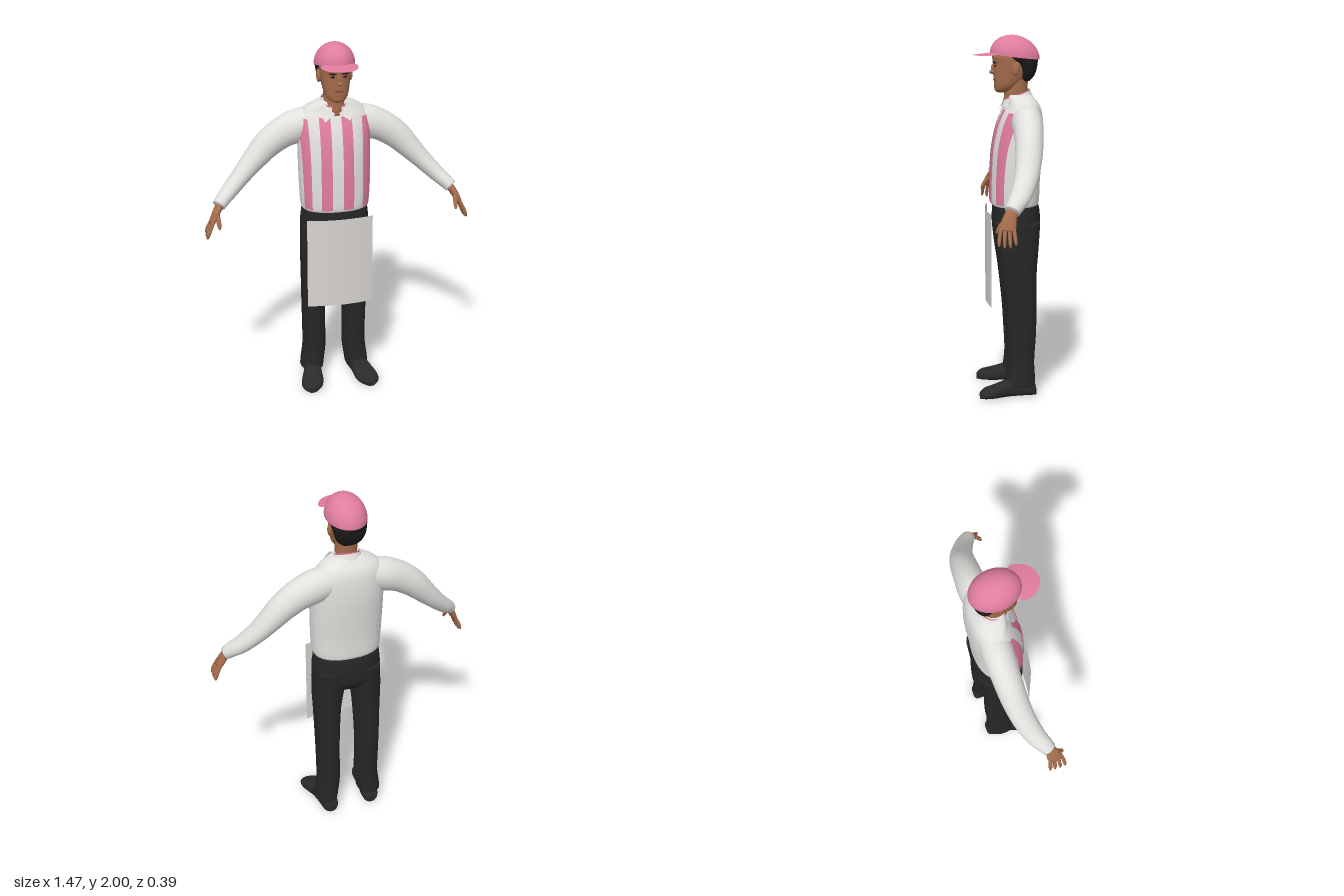
import * as THREE from 'three';

const mat = (name, color, side = THREE.FrontSide) => {
  const m = new THREE.MeshStandardMaterial({ color, side });
  m.name = name;
  return m;
};
const V = (x, y, z) => new THREE.Vector3(x, y, z);

// Smoothly resample a table of numbers, k steps per interval
function smooth(rows, k = 4) {
  const out = [], at = i => rows[Math.min(Math.max(i, 0), rows.length - 1)];
  for (let i = 0; i < rows.length - 1; i++)
    for (let j = 0; j < k; j++) {
      const t = j / k;
      out.push(rows[i].map((p1, c) => {
        const p0 = at(i - 1)[c], p2 = at(i + 1)[c], p3 = at(i + 2)[c];
        return p1 + 0.5 * t * (p2 - p0 + t * (2 * p0 - 5 * p1 + 4 * p2 - p3 + t * (3 * (p1 - p2) + p3 - p0)));
      }));
    }
  out.push(rows[rows.length - 1]);
  return out;
}

// Closed skin over superellipse rings {c, u, v, ru, rv}
function loft(rings, e = 2, seg = 32) {
  const pos = [], idx = [], n = rings.length;
  const pw = x => Math.sign(x) * Math.pow(Math.abs(x), 2 / e);
  for (const r of rings)
    for (let i = 0; i < seg; i++) {
      const a = i / seg * Math.PI * 2;
      const p = r.c.clone().addScaledVector(r.u, r.ru * pw(Math.cos(a))).addScaledVector(r.v, r.rv * pw(Math.sin(a)));
      pos.push(p.x, p.y, p.z);
    }
  pos.push(...rings[0].c.toArray(), ...rings[n - 1].c.toArray());
  for (let i = 0; i < seg; i++) {
    const j = (i + 1) % seg, top = (n - 1) * seg;
    for (let k = 0; k < top; k += seg)
      idx.push(k + i, k + j, k + seg + i, k + j, k + seg + j, k + seg + i);
    idx.push(n * seg, j, i, n * seg + 1, top + i, top + j);
  }
  // Turn the faces outward whichever way the rings run
  const p = k => V(pos[3 * k], pos[3 * k + 1], pos[3 * k + 2]);
  let vol = 0;
  for (let k = 0; k < idx.length; k += 3) vol += p(idx[k]).dot(p(idx[k + 1]).cross(p(idx[k + 2])));
  if (vol < 0) idx.reverse();
  const g = new THREE.BufferGeometry();
  g.setAttribute('position', new THREE.Float32BufferAttribute(pos, 3));
  g.setIndex(idx);
  g.computeVertexNormals();
  return g;
}

// Upright body: rows of [y, centre x, half width, front z, back z]
const column = (rows, e) => loft(smooth(rows).map(([y, cx, rx, f, b]) =>
  ({ c: V(cx, y, (f + b) / 2), u: V(1, 0, 0), v: V(0, 0, 1), ru: rx, rv: (f - b) / 2 })), e);

// Limb along a path: rows of [x, y, z, thickness, depth]
function limb(rows, seg = 24) {
  const s = smooth(rows), c = s.map(r => V(r[0], r[1], r[2]));
  return loft(s.map((r, i) => {
    const t = c[Math.min(i + 1, c.length - 1)].clone().sub(c[Math.max(i - 1, 0)]).normalize();
    const u = t.clone().cross(V(0, 0, 1)).normalize();
    return { c: c[i], u, v: u.clone().cross(t), ru: r[3], rv: r[4] };
  }), 2, seg);
}

// Open sheet from a rule (u, v) -> [x, y, z]
function sheet(nu, nv, fn) {
  const g = new THREE.PlaneGeometry(1, 1, nu, nv), p = g.attributes.position;
  for (let i = 0; i < p.count; i++) p.setXYZ(i, ...fn(p.getX(i) + 0.5, p.getY(i) + 0.5));
  g.computeVertexNormals();
  return g;
}

export function createModel() {
  const model = new THREE.Group();
  model.name = 'capAndApronWorker';
  const white = mat('shirt white', 0xe2e1de, THREE.DoubleSide);
  const apronGrey = mat('apron off-white', 0xd8d5d1, THREE.DoubleSide);
  const pink = mat('pink', 0xe07c9f, THREE.DoubleSide);
  const skin = mat('skin', 0xa56c4c), lip = mat('lips', 0x804c38);
  const black = mat('trouser black', 0x262626), shoeBlack = mat('shoe black', 0x2a2a2a);
  const hairBlack = mat('hair black', 0x1d1a19);
  const add = (name, geo, m, parent = model) => {
    const mesh = new THREE.Mesh(geo, m);
    mesh.name = name;
    parent.add(mesh);
    return mesh;
  };
  const ball = (name, m, [x, y, z], [sx, sy, sz]) => {
    const b = add(name, new THREE.SphereGeometry(1, 20, 14), m);
    b.position.set(x, y, z);
    b.scale.set(sx, sy, sz);
    return b;
  };

  // Shirt body
  const torso = [
    [1.075, 0, .178, .09, -.155], [1.09, 0, .19, .102, -.168], [1.2, 0, .197, .102, -.172],
    [1.35, 0, .2, .095, -.184], [1.45, 0, .2, .08, -.19], [1.53, 0, .198, .058, -.188],
    [1.59, 0, .19, .032, -.18], [1.63, 0, .165, .012, -.165], [1.655, 0, .13, .008, -.145], [1.68, 0, .075, .005, -.125]];
  add('shirtBody', column(torso, 2.3), white);

  // Painted stripes that hug the chest: [bottom x range, top x range, top y]
  const rows = smooth(torso);
  [[-.178, -.143, -.2, -.155, 1.59], [-.098, -.04, -.097, -.037, 1.612],
    [.022, .08, .022, .08, 1.612], [.132, .173, .14, .2, 1.59]].forEach(([a0, a1, b0, b1, top]) => {
    const r = rows.filter(q => q[0] > 1.08 && q[0] <= top);
    add('shirtStripe', sheet(10, r.length - 1, (u, v) => {
      const [y, , rx, f, b] = r[Math.round(v * (r.length - 1))];
      const x = THREE.MathUtils.clamp((a0 + (a1 - a0) * u) * (1 - v) + (b0 + (b1 - b0) * u) * v, -.99 * rx, .99 * rx);
      const k = Math.pow(1 - Math.pow(Math.abs(x) / rx, 2.3), 1 / 2.3);
      return [x * 1.012, y, (f + b) / 2 + (f - b) / 2 * k + .004];
    }), pink);
  });

  // Collar band with pink lining
  const around = (rx, rz, drop, flare) => (u, v) => {
    const a = .35 + u * (Math.PI * 2 - .7), w = 1 - v;
    const z = -.045 + (rz + flare * w) * Math.cos(a);
    return [(rx + flare * w) * Math.sin(a), 1.677 - .36 * (-0.045 + rz * Math.cos(a) + .045) - drop * w, z];
  };
  add('collar', sheet(40, 3, around(.074, .074, .042, .018)), white);
  const lining = add('collarLining', sheet(40, 1, around(.07, .07, .03, 0)), pink);
  lining.position.y = .007;

  // Trouser seat
  add('trouserSeat', column([[1.11, 0, .178, .08, -.155], [1.05, 0, .186, .09, -.17], [.97, 0, .193, .092, -.175],
    [.9, 0, .186, .082, -.165], [.85, 0, .14, .045, -.125]], 2.3), black);

  // Parts made once for each side
  for (const s of [1, -1]) {
    const side = new THREE.Group();
    side.name = s > 0 ? 'leftSide' : 'rightSide';
    model.add(side);
    const m = rs => rs.map(r => [r[0] * s, ...r.slice(1)]);
    const mc = rs => rs.map(r => [r[0], r[1] * s, ...r.slice(2)]);

    add('trouserLeg', column(mc([[.99, .1, .09, .085, -.168], [.9, .103, .09, .081, -.163], [.8, .112, .083, .068, -.155],
      [.7, .117, .075, .053, -.148], [.5, .12, .068, .031, -.148], [.35, .119, .066, .021, -.145], [.2, .118, .067, .014, -.136],
      [.1, .13, .067, .022, -.14], [.065, .134, .066, .03, -.14]]), 2.2), black, side);

    // Shoe: stations of [z, centre x, half width, height]
    add('shoe', loft(smooth([[-.146, .125, .025, .045], [-.13, .126, .044, .075], [-.07, .13, .05, .1], [0, .14, .05, .1],
      [.05, .15, .058, .08], [.1, .16, .064, .062], [.145, .168, .054, .05], [.173, .172, .025, .03]]).map(([z, x, w, h]) =>
      ({ c: V(x * s, h / 2, z), u: V(1, 0, 0), v: V(0, 1, 0), ru: w, rv: h / 2 })), 2.7), shoeBlack, side);

    add('sleeve', limb(m([[.09, 1.56, -.085, .08, .08], [.19, 1.533, -.087, .093, .084], [.28, 1.498, -.085, .086, .078],
      [.36, 1.443, -.08, .078, .074], [.42, 1.384, -.072, .068, .07], [.5, 1.3, -.053, .054, .063],
      [.58, 1.22, -.018, .045, .055], [.625, 1.18, .012, .04, .047], [.655, 1.15, .034, .036, .04]])), white, side);

    // Hand, fingers and thumb
    add('palm', limb(m([[.635, 1.168, .022, .022, .028], [.663, 1.13, .042, .021, .033], [.685, 1.09, .054, .018, .041],
      [.702, 1.06, .06, .012, .039]])), skin, side);
    [-.032, -.011, .011, .032].forEach((o, i) => {
      const l = [.85, 1, 1, .9][i];
      add('finger', limb(m([[.694, 1.075, .06 + o, .009, .01], [.714, 1.065 - .035 * l, .062 + o * 1.2, .01, .01],
        [.724, 1.065 - .065 * l, .062 + o * 1.3, .009, .009], [.729, 1.065 - .084 * l, .061 + o * 1.35, .004, .004]]), 10), skin, side);
    });
    add('thumb', limb(m([[.668, 1.115, .065, .013, .014], [.666, 1.085, .09, .013, .012], [.664, 1.06, .105, .011, .01],
      [.662, 1.042, .113, .005, .005]]), 10), skin, side);

    // Pointed collar flap, blended between four corners
    const q = [[.07, 1.583, .053], [.095, 1.632, .024], [.01, 1.622, .036], [.07, 1.664, .012]];
    add('collarFlap', sheet(4, 4, (u, v) => [0, 1, 2].map(c => (c ? 1 : s) *
      ((q[0][c] * (1 - u) + q[1][c] * u) * (1 - v) + (q[2][c] * (1 - u) + q[3][c] * u) * v))), white, side);

    // Ear, brow and eye
    ball('ear', skin, [s * .087, 1.82, -.035], [.012, .036, .02]).rotation.x = -.15;
    ball('brow', hairBlack, [s * .034, 1.853, .077], [.021, .005, .006]).rotation.y = s * .35;
    ball('eye', hairBlack, [s * .033, 1.836, .075], [.013, .005, .005]).rotation.y = s * .35;
  }

  // Neck and head
  add('neck', column([[1.58, 0, .065, .02, -.11], [1.63, 0, .06, .027, -.108], [1.7, 0, .058, .022, -.104], [1.78, 0, .06, .02, -.11]], 2), skin);
  add('head', column([[1.69, 0, .022, .06, .01], [1.703, 0, .046, .075, -.03], [1.73, 0, .063, .078, -.06], [1.77, 0, .073, .08, -.1],
    [1.81, 0, .08, .081, -.125], [1.85, 0, .084, .083, -.14], [1.89, 0, .085, .088, -.14], [1.93, 0, .07, .06, -.12]], 2.2), skin);
  ball('nose', skin, [0, 1.817, .082], [.01, .03, .014]);
  ball('noseTip', skin, [0, 1.801, .088], [.016, .011, .017]);
  ball('mouth', lip, [0, 1.759, .077], [.026, .006, .006]);

  // Hair at the back and temples
  add('hair', column([[1.752, 0, .045, -.07, -.115], [1.775, 0, .068, -.05, -.137], [1.81, 0, .083, -.045, -.152],
    [1.85, 0, .092, -.02, -.159], [1.88, 0, .097, .03, -.16], [1.92, 0, .085, .03, -.14]], 2.2), hairBlack);

  // Cap crown, sheared so it sits lower at the back
  const crown = new THREE.SphereGeometry(1, 40, 16, 0, Math.PI * 2, 0, Math.PI / 2);
  crown.scale(.109, .115, .136);
  const cp = crown.attributes.position;
  for (let i = 0; i < cp.count; i++) cp.setY(i, cp.getY(i) + cp.getZ(i) * .12);
  crown.computeVertexNormals();
  crown.translate(0, 1.884, -.035);
  add('capCrown', crown, pink);

  // Cap brim, drooping to the sides and front
  add('capBrim', sheet(24, 6, (u, v) => {
    const a = (u - .5) * Math.PI, x = .101 * Math.sin(a) * (.85 + .15 * (1 - v));
    const z = .06 + (1 - v) * (.02 + .115 * Math.cos(a)) + v * .02 * Math.cos(a);
    return [x, 1.907 - .12 * (z - .08) - 1.1 * x * x, z];
  }), pink);

  // Waist apron, bowed forward in the middle
  add('apron', sheet(20, 8, (u, v) => {
    const x = (u - .5) * .37;
    return [x, .525 + v * .52, .129 - .65 * x * x];
  }), apronGrey);

  return model;
}
